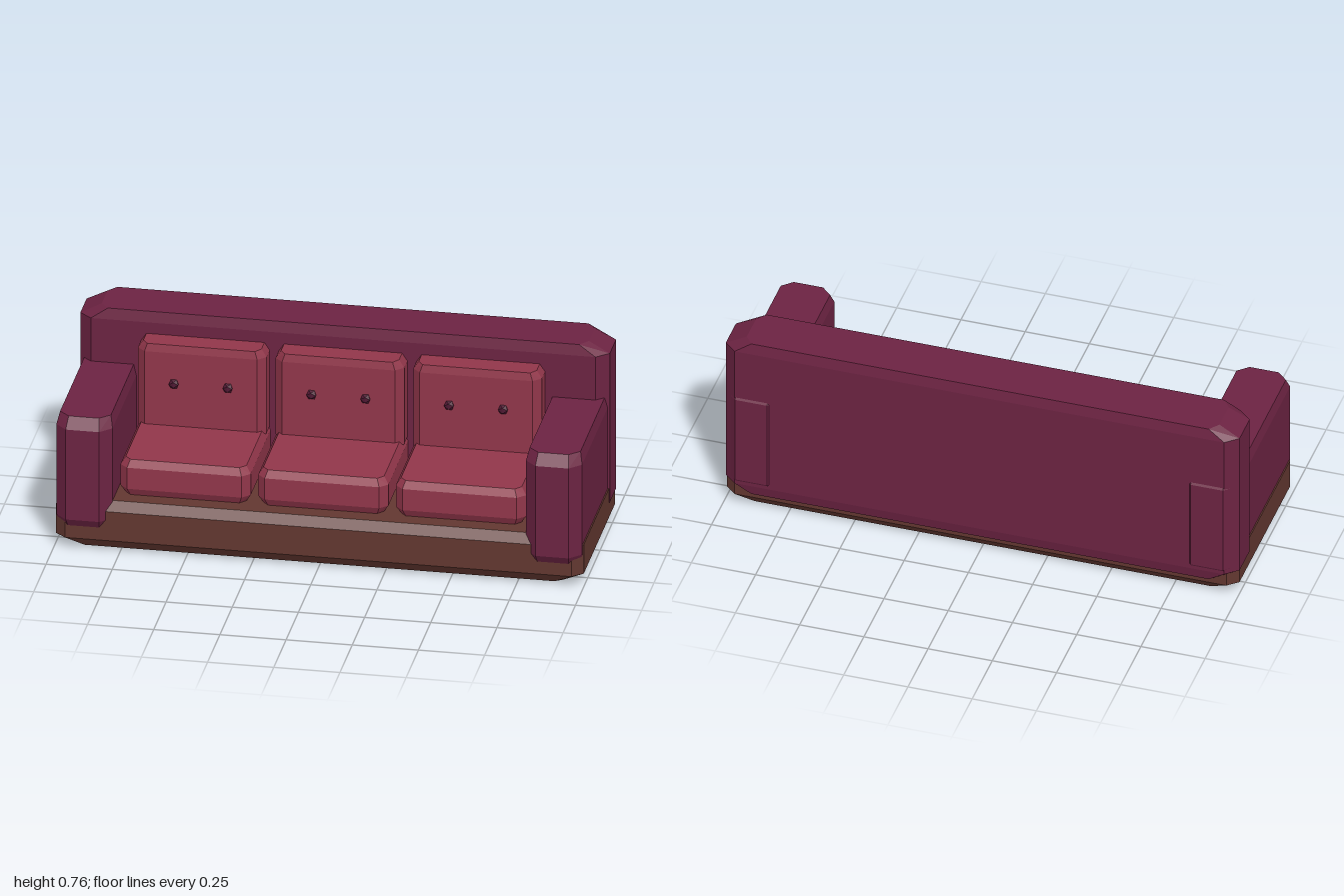
import * as THREE from 'three';
import { ConvexGeometry } from 'three/addons/geometries/ConvexGeometry.js';

const material = (name, color) => {
  const m = new THREE.MeshStandardMaterial({ color, flatShading: true });
  m.name = name;
  return m;
};

// Box with cut vertical corners (cx, cz) and sloping top and bottom edges:
// the end faces are cy away from the walls and set in by ix and iz.
function bevelledBox([w, h, d], { cx, cz, cy, ix, iz, jx = 0.01, jz = 0.01 }) {
  const X = w / 2, Y = h / 2, Z = d / 2, points = [];
  for (const sx of [-1, 1]) for (const sy of [-1, 1]) for (const sz of [-1, 1]) {
    const add = (x, y, z) => points.push(new THREE.Vector3(sx * x, sy * y, sz * z));
    add(X, Y - cy, Z - cz);
    add(X - cx, Y - cy, Z);
    add(X - ix, Y, Z - cz - jz);
    add(X - Math.max(cx, ix) - jx, Y, Z - iz);
  }
  return new ConvexGeometry(points);
}

export function createModel() {
  const sofa = new THREE.Group();
  sofa.name = 'sofa';

  const upholstery = material('plum upholstery', 0x6c2342);
  const cushion = material('red cushion', 0x91364a);
  const wood = material('brown wood', 0x623730);
  const button = material('dark button', 0x4e1832);
  const foot = material('light wood foot', 0x8f5e30);

  const add = (name, geometry, mat, x, y, z) => {
    const mesh = new THREE.Mesh(geometry, mat);
    mesh.name = name;
    mesh.position.set(x, y, z);
    sofa.add(mesh);
    return mesh;
  };

  // Wooden base
  add('base', bevelledBox([1.994, 0.19, 0.7],
    { cx: 0.04, cz: 0.035, cy: 0.036, ix: 0.08, iz: 0.026, jx: 0.03 }), wood, 0, 0.105, 0);

  // Backrest
  add('backrest', bevelledBox([2, 0.692, 0.21],
    { cx: 0.047, cz: 0.042, cy: 0.042, ix: 0.08, iz: 0.009, jx: 0.03, jz: 0.006 }),
    upholstery, 0, 0.411, -0.26);

  // Arms and feet, mirrored
  const armShape = bevelledBox([0.212, 0.455, 0.74],
    { cx: 0.043, cz: 0.043, cy: 0.044, ix: 0.01, iz: 0.028, jx: 0.006, jz: 0.022 });
  const footShape = new THREE.CylinderGeometry(0.04, 0.04, 0.03, 8);
  footShape.rotateY(Math.PI / 8);
  for (const side of [-1, 1]) {
    const label = side > 0 ? 'left' : 'right';
    add(label + 'Arm', armShape, upholstery, side * 0.887, 0.312, 0);
    for (const end of [-1, 1]) {
      add(label + (end > 0 ? 'FrontFoot' : 'BackFoot'), footShape, foot, side * 0.81, 0.015, end * 0.26);
    }
  }

  // Three seat cushions, each with a buttoned back cushion
  const seatShape = bevelledBox([0.492, 0.144, 0.48],
    { cx: 0.03, cz: 0.03, cy: 0.029, ix: 0.018, iz: 0.015 });
  const backShape = bevelledBox([0.486, 0.37, 0.148],
    { cx: 0.03, cz: 0.03, cy: 0.03, ix: 0.02, iz: 0.006, jz: 0.004 });
  const buttonShape = new THREE.IcosahedronGeometry(0.021, 0);
  for (const x of [-0.52, 0, 0.52]) {
    add('seatCushion', seatShape, cushion, x, 0.272, 0.035);
    add('backCushion', backShape, cushion, x, 0.485, -0.136);
    for (const side of [-1, 1]) {
      add('button', buttonShape, button, x + side * 0.102, 0.515, -0.062).scale.z = 0.8;
    }
  }

  return sofa;
}
